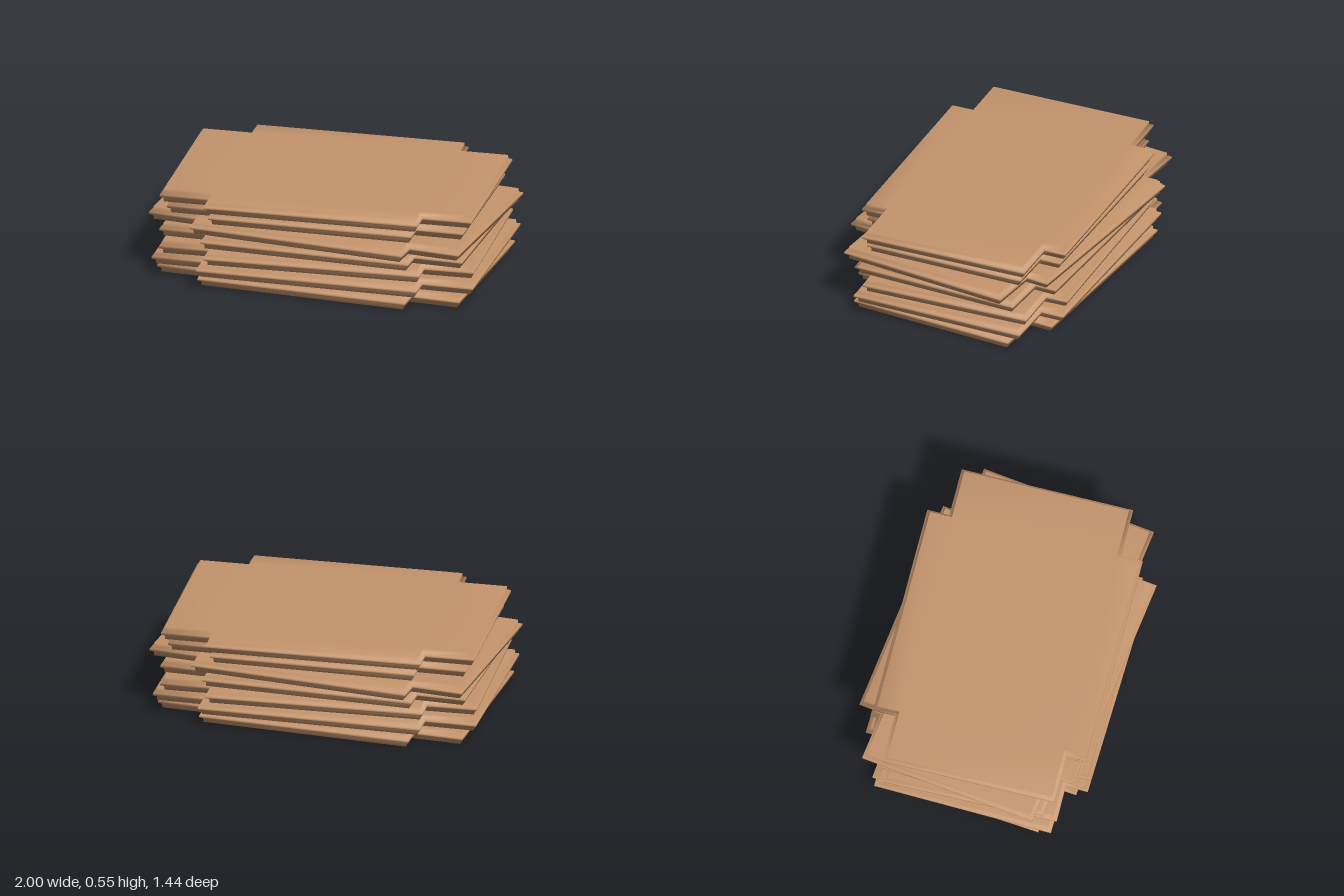
import * as THREE from 'three';

const LAYER_HEIGHT = 0.078;

// Edge profile of one slab: [inset from the rim, height]
const PROFILE = [
  [0.022, 0], [0.02, 0.024], [0.002, 0.033], [0, 0.039],
  [0.002, 0.048], [0.02, 0.056], [0.022, LAYER_HEIGHT],
];

// Rectangle with notched corners, shrunk evenly by an inset
function outline(inset) {
  const hx = 0.954 - inset, hz = 0.662 - inset; // overall half sizes
  const bx = 0.655 - inset, fz = 0.527 - inset; // where the notches begin
  const half = [[bx, -hz], [bx, -fz], [hx, -fz], [hx, fz], [bx, fz], [bx, hz]];
  return [...half, ...half.map(([x, z]) => [-x, -z])];
}

// Smooth slab made of stacked outlines, closed by two caps
function slabGeometry() {
  const positions = [], indices = [];
  const n = outline(0).length;
  PROFILE.forEach(([inset, y], j) => {
    outline(inset).forEach(([x, z], i) => {
      positions.push(x, y, z);
      if (j === PROFILE.length - 1) return;
      const a = j * n + i, b = j * n + (i + 1) % n;
      indices.push(a, a + n, b, b, a + n, b + n);
    });
  });
  const contour = outline(PROFILE[0][0]).map(([x, z]) => new THREE.Vector2(x, z));
  const top = (PROFILE.length - 1) * n;
  for (const [a, b, c] of THREE.ShapeUtils.triangulateShape(contour, [])) {
    indices.push(a, b, c, top + a, top + c, top + b);
  }
  const geometry = new THREE.BufferGeometry();
  geometry.setAttribute('position', new THREE.Float32BufferAttribute(positions, 3));
  geometry.setIndex(indices);
  geometry.computeVertexNormals();
  return geometry;
}

export function createModel() {
  const group = new THREE.Group();
  group.name = 'cardboardStack';
  const cardboard = new THREE.MeshStandardMaterial({ color: 0xc4946c });
  cardboard.name = 'cardboard brown';
  const geometry = slabGeometry();

  // Flattened boxes from bottom to top: [turn, scale]
  const layers = [
    [-0.05, 0.962], [0.01, 1.005], [0.05, 0.975], [-0.022, 0.956],
    [-0.09, 1], [0.02, 0.924], [0.039, 0.968],
  ];
  layers.forEach(([turn, scale], i) => {
    const slab = new THREE.Mesh(geometry, cardboard);
    slab.name = `flatBox${i + 1}`;
    slab.position.y = i * LAYER_HEIGHT;
    slab.rotation.y = turn;
    slab.scale.set(scale, 1, scale);
    group.add(slab);
  });
  return group;
}
